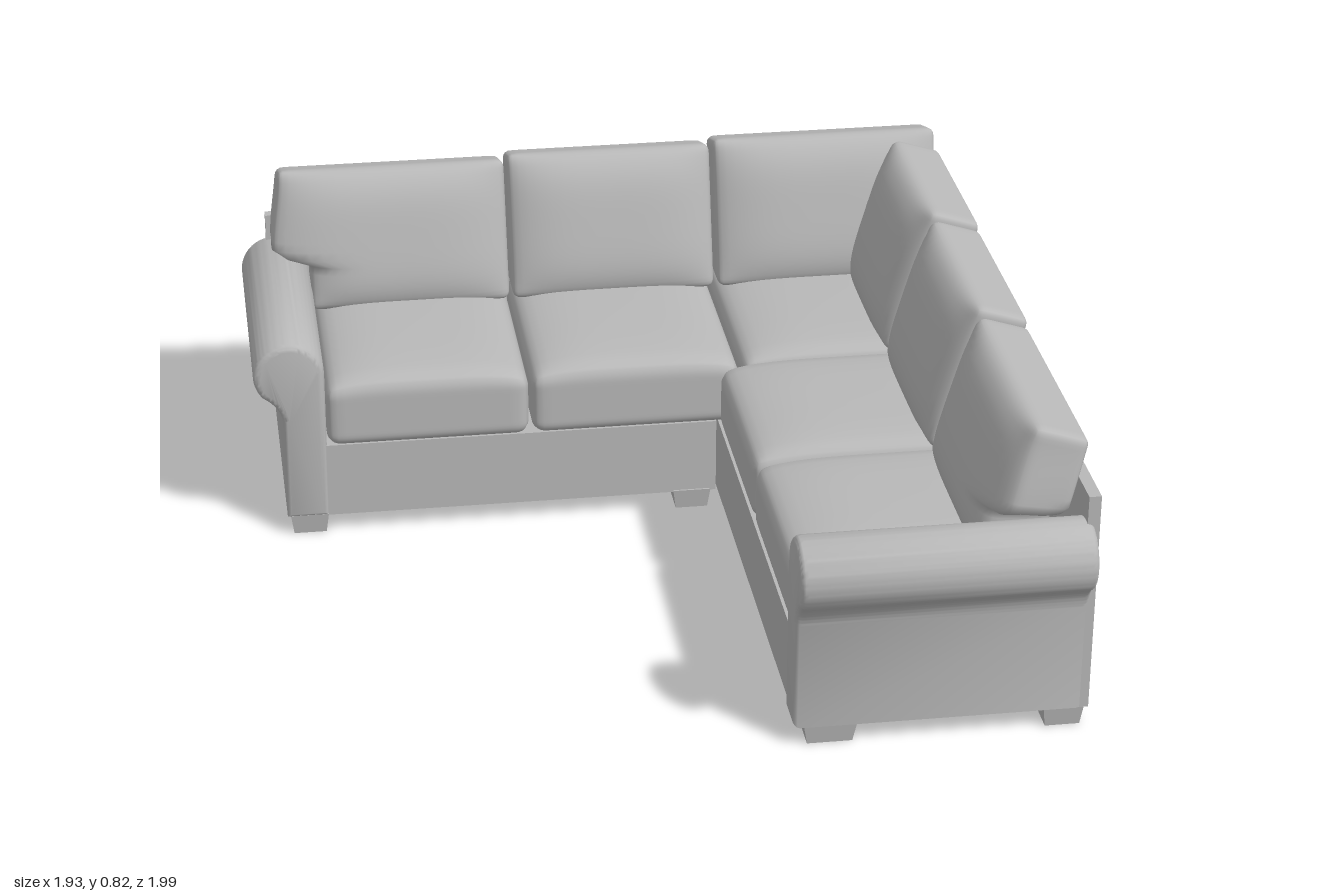
import * as THREE from 'three';
import { mergeVertices, toCreasedNormals } from 'three/addons/utils/BufferGeometryUtils.js';

const fabric = new THREE.MeshStandardMaterial({ color: 0xb8b8b8 });
fabric.name = 'grey fabric';

const { clamp, smoothstep } = THREE.MathUtils;

function add(parent, name, geometry) {
  const mesh = new THREE.Mesh(geometry, fabric);
  mesh.name = name;
  parent.add(mesh);
  return mesh;
}

// Plain box given by its lower and upper corners
function slab(parent, name, x0, x1, y0, y1, z0, z1) {
  const g = new THREE.BoxGeometry(x1 - x0, y1 - y0, z1 - z0);
  g.translate((x0 + x1) / 2, (y0 + y1) / 2, (z0 + z1) / 2);
  return add(parent, name, g);
}

// Soft rounded block; warp(p, u, v, w) reshapes it with u, v, w in -1..1
function pillow(w, h, d, r, warp) {
  let g = new THREE.BoxGeometry(2, 2, 2, 20, 26, 14);
  g.deleteAttribute('normal');
  g.deleteAttribute('uv');
  g = mergeVertices(g);
  const pos = g.attributes.position;
  const half = new THREE.Vector3(w / 2, h / 2, d / 2);
  const p = new THREE.Vector3(), core = new THREE.Vector3();
  for (let i = 0; i < pos.count; i++) {
    p.fromBufferAttribute(pos, i);
    for (const a of ['x', 'y', 'z']) {
      p[a] = Math.sin(p[a] * Math.PI / 2) * half[a];
      core[a] = clamp(p[a], r - half[a], half[a] - r);
    }
    p.sub(core).setLength(r).add(core);
    warp(p, p.x / half.x, p.y / half.y, p.z / half.z);
    pos.setXYZ(i, p.x, p.y, p.z);
  }
  g.computeVertexNormals();
  return g;
}

// Seat cushion with a crowned top that also lifts along its front and back edges
function seatCushion(parent, x0, x1, z0, z1) {
  const g = pillow(x1 - x0, 0.17, z1 - z0, 0.035, (p, u, v, w) => {
    if (v > 0) p.y += 0.035 * v * (1 - u ** 4) * (1 - 0.5 * w ** 4);
  });
  g.translate((x0 + x1) / 2, 0.335, (z0 + z1) / 2);
  add(parent, 'seatCushion', g);
}

// Leaning back cushion facing +z; ear = -1 or 1 widens that end above the arm
function backCushion(parent, x0, x1, top, ear = 0) {
  const y0 = 0.43, h = top - y0, mid = (x0 + x1) / 2;
  const g = pillow(x1 - x0, h, 0.15, 0.022, (p, u, v, w) => {
    const lift = (v + 1) / 2;
    p.z *= 1 - 0.12 * lift;
    if (w > 0) p.z += 0.045 * w * (1 - u ** 4) * (1 - v ** 4);
    p.y += 0.32 * (p.z - 0.06) * lift;
    p.z -= lift * h * 0.27;
    if (ear && u * ear > 0) {
      const y = p.y + y0 + h / 2;
      const notch = 0.1 * (1 - smoothstep(y, 0.55, 0.585));
      p.x -= (notch + 0.025 * smoothstep(y, 0.58, 0.8)) * u;
    }
  });
  g.translate(mid, y0 + h / 2, -0.82);
  add(parent, 'backCushion', g);
}

// Rolled arm profile, outward along +x, extruded along +z
function armGeometry(length) {
  const s = new THREE.Shape();
  const cy = 0.463, r = 0.092, a = -0.7;
  s.moveTo(0, 0.05);
  s.lineTo(0.11, 0.05);
  s.lineTo(0.11, 0.33);
  s.quadraticCurveTo(0.115, 0.375, 0.09 + r * Math.cos(a), cy + r * Math.sin(a));
  s.absarc(0.09, cy, r, a, Math.PI, false);
  s.closePath();
  const b = 0.018;
  const g = new THREE.ExtrudeGeometry(s, {
    depth: length - 2 * b, bevelThickness: b, bevelSize: b, bevelOffset: -b,
    bevelSegments: 4, curveSegments: 24,
  });
  g.translate(0, 0, b);
  return toCreasedNormals(g, 0.7);
}

// Square tapered foot
function foot(parent, x, z, w = 0.1) {
  const g = new THREE.CylinderGeometry(Math.SQRT1_2, Math.SQRT1_2 * 0.85, 0.055, 4).toNonIndexed();
  g.rotateY(Math.PI / 4);
  g.scale(w, 1, 0.1);
  g.computeVertexNormals();
  g.translate(x, 0.0275, z);
  add(parent, 'foot', g);
}

export function createModel() {
  const sofa = new THREE.Group();
  sofa.name = 'cornerSofa';

  // Section along the back
  const main = new THREE.Group();
  main.name = 'mainSection';
  sofa.add(main);
  slab(main, 'backPanel', -0.9, 0.245, 0.05, 0.625, -0.995, -0.965);
  slab(main, 'frontRail', -0.8, 0.245, 0.05, 0.255, -0.32, -0.295);
  slab(main, 'endRail', 0.22, 0.245, 0.05, 0.25, -0.97, -0.31);
  slab(main, 'seatDeck', -0.8, 0.245, 0.24, 0.255, -0.97, -0.3);
  const mainArm = add(main, 'rolledArm', armGeometry(0.71));
  mainArm.rotation.y = Math.PI;
  mainArm.position.set(-0.788, 0, -0.285);

  // Section running forward, with the corner
  const side = new THREE.Group();
  side.name = 'returnSection';
  sofa.add(side);
  slab(side, 'sidePanel', 0.93, 0.96, 0.05, 0.625, -1, 0.92);
  slab(side, 'cornerBackPanel', 0.25, 0.935, 0.05, 0.625, -1, -0.965);
  slab(side, 'frontRail', 0.25, 0.275, 0.05, 0.255, -0.97, 0.82);
  slab(side, 'seatDeck', 0.26, 0.935, 0.24, 0.255, -0.97, 0.82);
  const sideArm = add(side, 'rolledArm', armGeometry(0.71));
  sideArm.rotation.y = -Math.PI / 2;
  sideArm.position.set(0.948, 0, 0.812);

  // Seat cushions
  seatCushion(main, -0.785, -0.253, -0.95, -0.285);
  seatCushion(main, -0.245, 0.305, -0.95, -0.285);
  seatCushion(side, 0.315, 0.92, -0.95, -0.292);
  seatCushion(side, 0.25, 0.92, -0.284, 0.26);
  seatCushion(side, 0.25, 0.92, 0.268, 0.808);

  // Back cushions, the second row turned to face the room from the side
  backCushion(main, -0.89, -0.253, 0.8, -1);
  backCushion(main, -0.245, 0.31, 0.812);
  backCushion(side, 0.32, 0.935, 0.822);
  const turned = new THREE.Group();
  turned.name = 'sideBackCushions';
  turned.rotation.y = -Math.PI / 2;
  turned.position.x = -0.052;
  side.add(turned);
  backCushion(turned, -0.805, -0.293, 0.822);
  backCushion(turned, -0.285, 0.268, 0.812);
  backCushion(turned, 0.276, 0.92, 0.8, 1);

  // Feet
  for (const z of [-0.93, -0.34]) {
    foot(main, -0.84, z);
    foot(main, 0.18, z);
  }
  for (const z of [-0.93, 0.87]) {
    foot(side, 0.33, z, 0.13);
    foot(side, 0.9, z);
  }
  foot(side, 0.33, -0.24, 0.13);

  return sofa;
}
